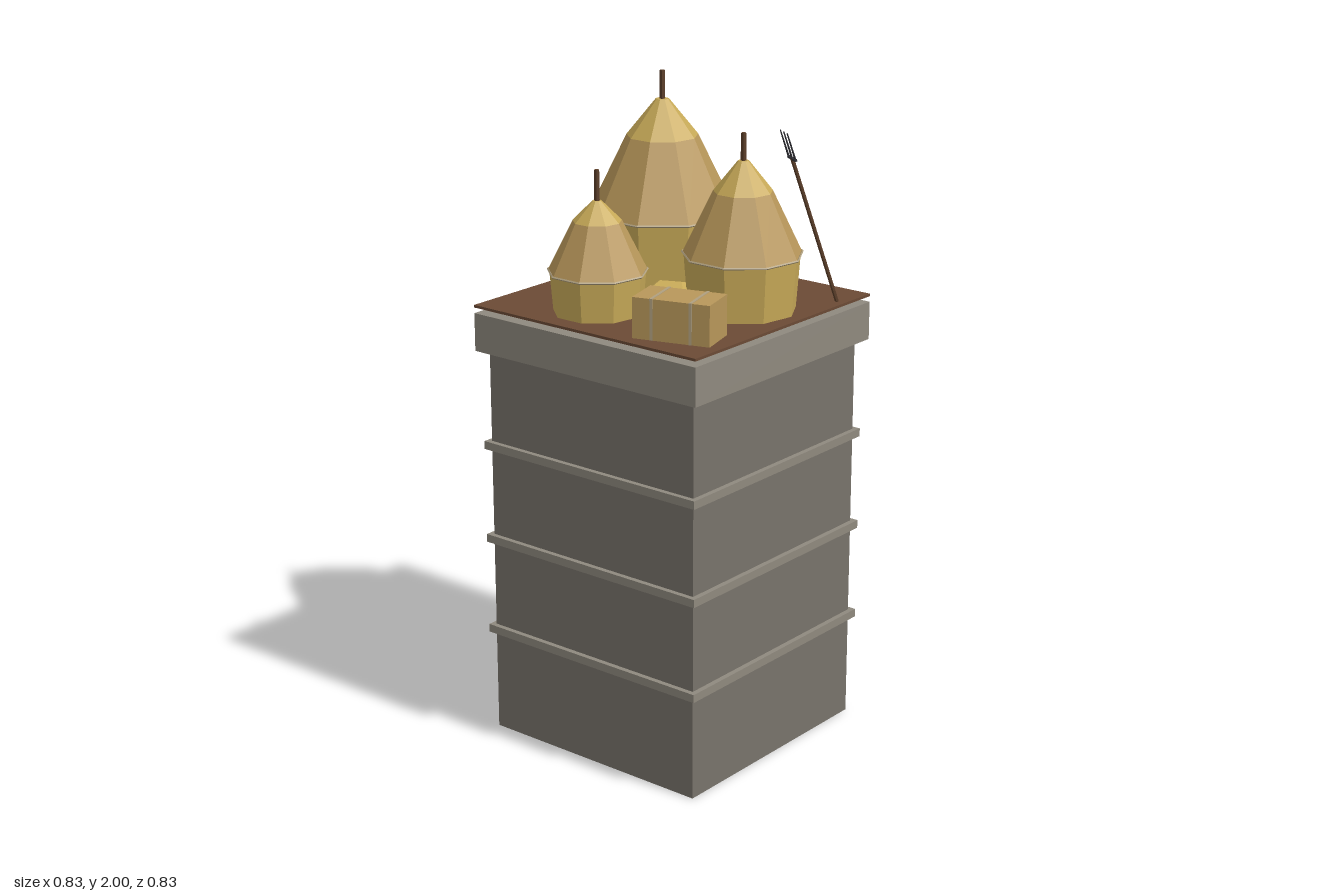
import * as THREE from 'three';

const mat = (color) => new THREE.MeshStandardMaterial({ color, flatShading: true });
const stone = mat(0x78736b), trim = mat(0x8f897e), soil = mat(0x6b4a35);
const straw = mat(0xb8975a), gold = mat(0xc8aa58), rope = mat(0xb0a080);
const wood = mat(0x5a3d28), iron = mat(0x333338);

function add(parent, name, geometry, material, x = 0, y = 0, z = 0) {
  const mesh = new THREE.Mesh(geometry, material);
  mesh.name = name;
  mesh.position.set(x, y, z);
  parent.add(mesh);
  return mesh;
}

const SIDES = 9;
const GROUND = 1.36;

// Nine-sided ring section between two heights, one corner pointing back
function section(parent, name, material, r0, y0, r1, y1) {
  const g = new THREE.CylinderGeometry(r1, r0, y1 - y0, SIDES);
  g.rotateY(Math.PI);
  return add(parent, name, g, material, 0, (y0 + y1) / 2, 0);
}

// Haystack: flared wall, rope at the eave, two-stage roof and centre pole
function haystack(name, x, z, r, eave, knee, tip, top) {
  const stack = new THREE.Group();
  stack.name = name;
  stack.position.set(x, 0, z);
  section(stack, 'wall', gold, r * 0.9, GROUND - 0.005, r * 0.975, eave);
  section(stack, 'roof', straw, r * 0.99, eave, r * 0.49, knee);
  section(stack, 'crown', gold, r * 0.49, knee, r * 0.09, tip);
  const ring = new THREE.TorusGeometry(r, 0.0035, 4, SIDES);
  ring.rotateZ(Math.PI / 2);
  ring.rotateX(-Math.PI / 2);
  add(stack, 'eaveRope', ring, rope, 0, eave, 0);
  const pole = new THREE.CylinderGeometry(0.008, 0.009, top - tip + 0.03, 5);
  pole.rotateY(Math.PI);
  add(stack, 'pole', pole, wood, 0, (top + tip - 0.03) / 2, 0);
  return stack;
}

// Strapped bale
function hayBale() {
  const bale = new THREE.Group();
  bale.name = 'hayBale';
  bale.position.set(0.251, GROUND + 0.06, 0.281);
  bale.rotation.y = 0.285;
  add(bale, 'bale', new THREE.BoxGeometry(0.234, 0.12, 0.13), straw);
  for (const x of [-0.059, 0.059]) {
    add(bale, 'strap', new THREE.BoxGeometry(0.009, 0.123, 0.134), rope, x);
  }
  return bale;
}

// Leaning three-pronged fork, its own y axis running along the handle
function pitchfork() {
  const fork = new THREE.Group();
  fork.name = 'pitchfork';
  const foot = new THREE.Vector3(0.387, GROUND, -0.286);
  const head = new THREE.Vector3(0.308, 1.8, -0.16);
  const length = foot.distanceTo(head);
  const up = head.clone().sub(foot).normalize();
  const across = new THREE.Vector3(-up.z, 0, up.x).normalize();
  const out = new THREE.Vector3().crossVectors(across, up);
  fork.quaternion.setFromRotationMatrix(new THREE.Matrix4().makeBasis(across, up, out));
  fork.position.copy(foot);
  add(fork, 'handle', new THREE.CylinderGeometry(0.006, 0.006, length, 6), wood, 0, length / 2);
  add(fork, 'crossbar', new THREE.BoxGeometry(0.06, 0.007, 0.007), iron, 0, length);
  for (const x of [-0.027, 0, 0.027]) {
    add(fork, 'prong', new THREE.CylinderGeometry(0.002, 0.0032, 0.085, 4), iron, x, length + 0.042);
  }
  return fork;
}

export function createModel() {
  const model = new THREE.Group();
  model.name = 'hayTower';

  // Square tower with three string courses and a wider cap
  add(model, 'towerShaft', new THREE.BoxGeometry(0.77, 1.22, 0.77), stone, 0, 0.61);
  for (const y of [0.33, 0.626, 0.924]) {
    add(model, 'stringCourse', new THREE.BoxGeometry(0.802, 0.025, 0.802), trim, 0, y);
  }
  add(model, 'towerCap', new THREE.BoxGeometry(0.83, 0.116, 0.83), trim, 0, 1.277);
  add(model, 'earthFloor', new THREE.BoxGeometry(0.83, 0.008, 0.83), soil, 0, GROUND - 0.004);

  model.add(
    haystack('largeHaystack', -0.165, -0.15, 0.222, 1.577, 1.805, 1.915, 2.0),
    haystack('middleHaystack', 0.22, -0.046, 0.178, 1.527, 1.712, 1.802, 1.882),
    haystack('smallHaystack', -0.091, 0.235, 0.147, 1.482, 1.63, 1.69, 1.78),
    hayBale(),
    pitchfork(),
  );

  // Loose heap between the stacks
  const heap = add(model, 'looseHay', new THREE.DodecahedronGeometry(0.092), gold, 0.032, 1.39, 0.052);
  heap.scale.y = 0.5;
  heap.rotation.y = 0.4;

  return model;
}
